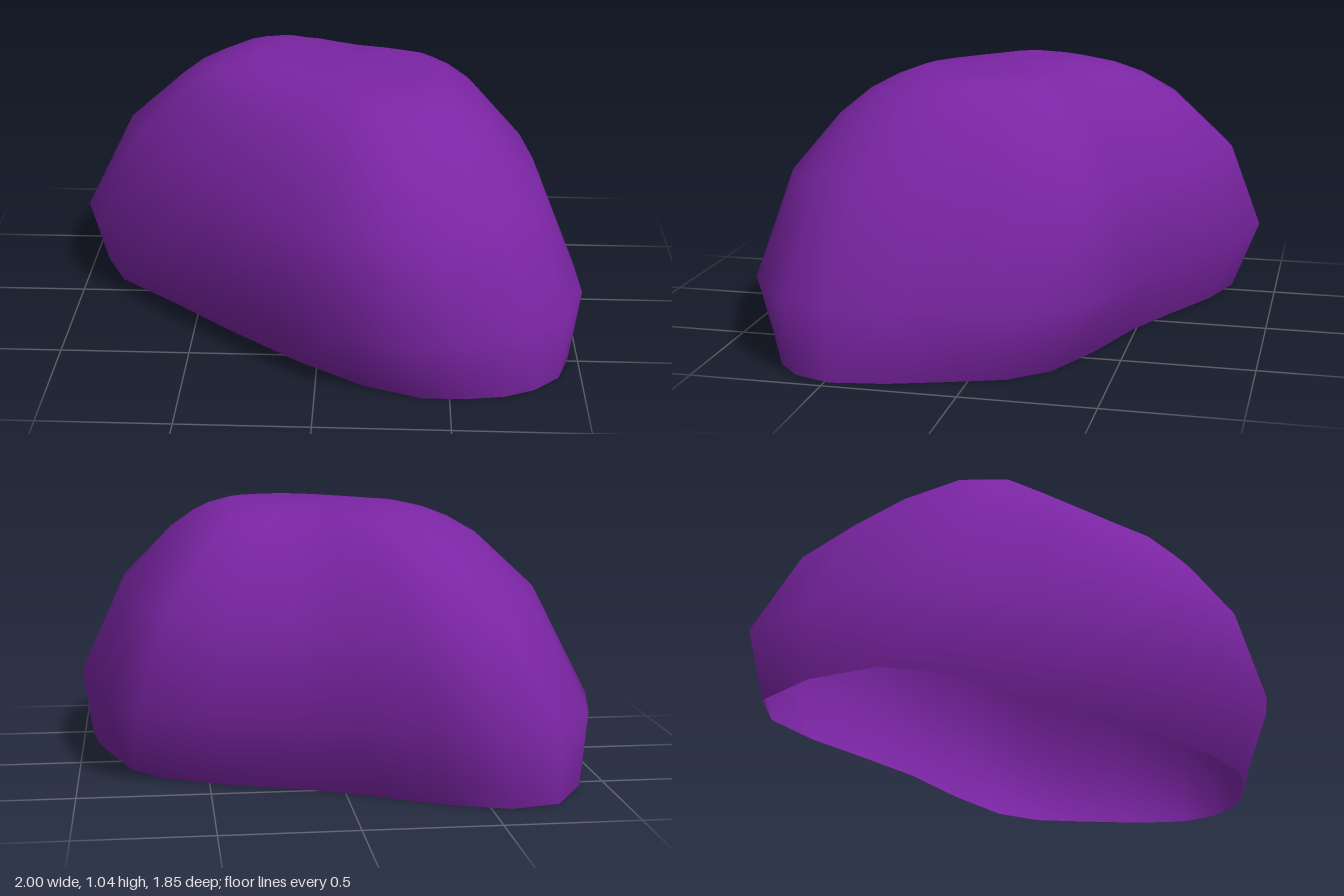
import * as THREE from 'three';

// Widest outline of the boulder seen from above, as [x, z], clockwise from the -x side
const OUTLINE = [
  [-1, -0.23], [-0.92, -0.56], [-0.74, -0.855], [-0.53, -0.925], [-0.3, -0.86], [-0.05, -0.73],
  [0.2, -0.61], [0.5, -0.525], [0.77, -0.41], [0.89, -0.25], [0.94, -0.02], [0.99, 0.24],
  [1, 0.48], [0.93, 0.66], [0.81, 0.785], [0.68, 0.86], [0.52, 0.905], [0.34, 0.925],
  [0.11, 0.855], [-0.15, 0.68], [-0.44, 0.43], [-0.68, 0.2], [-0.92, -0.01],
];

// Cross-sections from ground to top: height, x scale, z scale, diagonal stretch,
// x shift, z shift, height sway
const RINGS = [
  [0, 0.92, 0.825, 0.09, 0, -0.003, 0],
  [0.29, 1, 1, 0, 0, 0, 0],
  [0.675, 0.81, 0.895, -0.025, 0.017, 0.004, 0.045],
  [0.885, 0.6, 0.7, -0.025, 0.03, 0.015, 0.045],
  [0.965, 0.5, 0.567, -0.02, 0.04, 0.025, 0.025],
  [1.01, 0.422, 0.447, -0.015, 0.053, 0.03, 0.012],
  [1.04, 0.34, 0.32, -0.01, 0.065, 0.04, 0],
];

function boulderGeometry() {
  const n = OUTLINE.length;
  const positions = [];
  const indices = [];

  for (const [y, sx, sz, diagonal, ox, oz, sway] of RINGS) {
    for (const [x, z] of OUTLINE) {
      // Rings rise towards the x ends and dip on the narrow flanks
      const lean = (x * x - z * z) / (x * x + z * z) + 2 * Math.min(0, x * z);
      positions.push(x * sx + z * diagonal + ox, y + sway * lean, z * sz + x * diagonal + oz);
    }
  }

  // Side walls
  for (let j = 0; j < RINGS.length - 1; j++) {
    for (let i = 0; i < n; i++) {
      const a = j * n + i;
      const b = j * n + (i + 1) % n;
      indices.push(a, a + n, b, b, a + n, b + n);
    }
  }

  // Flat top; the underside stays open
  const top = (RINGS.length - 1) * n;
  const centre = positions.length / 3;
  positions.push(0.065, 1.04, 0.04);
  for (let i = 0; i < n; i++) indices.push(centre, top + (i + 1) % n, top + i);

  const geometry = new THREE.BufferGeometry();
  geometry.setAttribute('position', new THREE.Float32BufferAttribute(positions, 3));
  geometry.setIndex(indices);
  geometry.computeVertexNormals();
  return geometry;
}

export function createModel() {
  const group = new THREE.Group();
  group.name = 'rock';
  const material = new THREE.MeshStandardMaterial({ color: 0x7b25a4, side: THREE.DoubleSide });
  const boulder = new THREE.Mesh(boulderGeometry(), material);
  boulder.name = 'boulder';
  group.add(boulder);
  return group;
}
